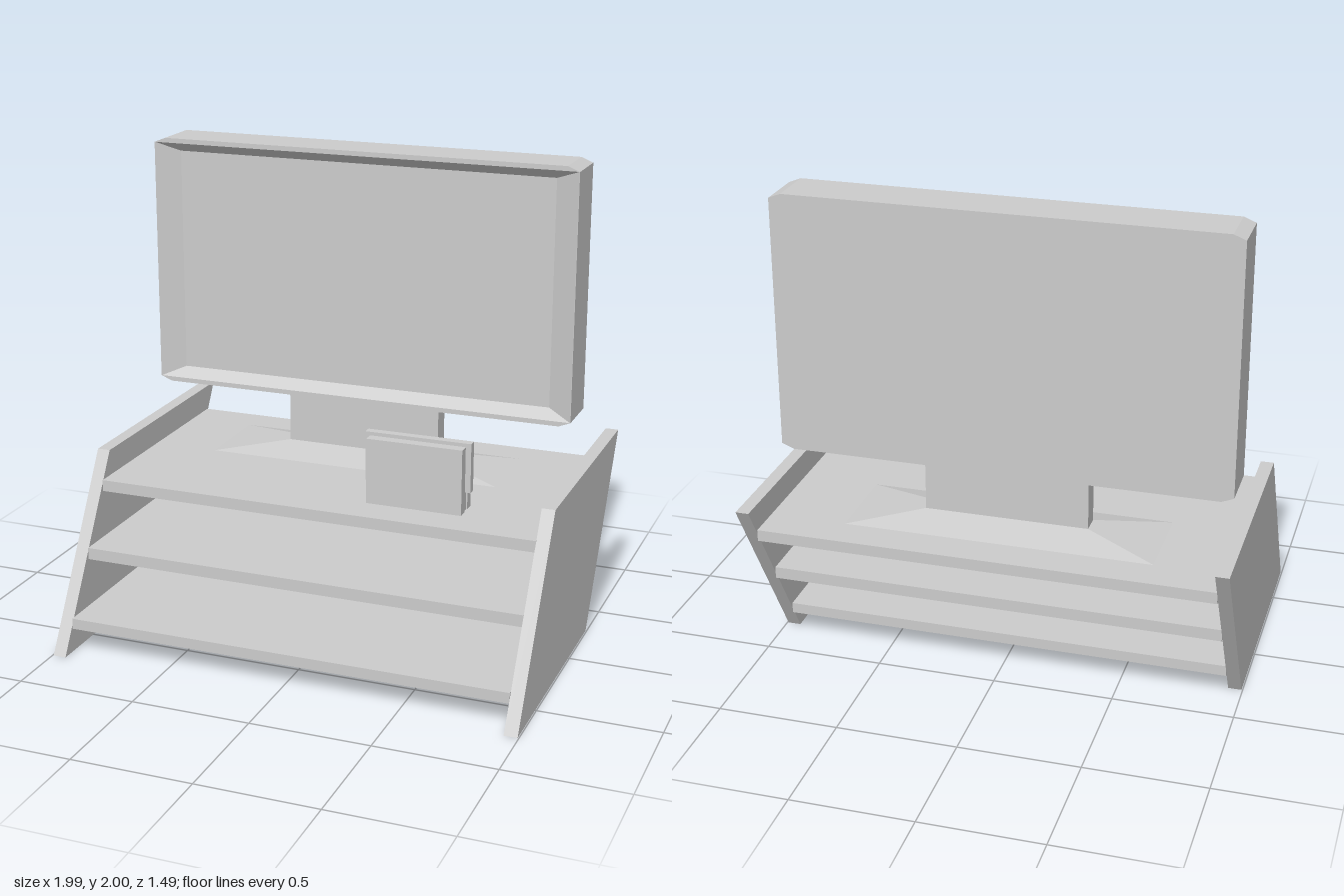
import * as THREE from 'three';

const material = new THREE.MeshStandardMaterial({ color: 0xcccccc, flatShading: true });

function mesh(name, geometry) {
  const m = new THREE.Mesh(geometry, material);
  m.name = name;
  return m;
}

// Box given by its extents along each axis
function block(name, x0, x1, y0, y1, z0, z1) {
  const g = new THREE.BoxGeometry(x1 - x0, y1 - y0, z1 - z0);
  g.translate((x0 + x1) / 2, (y0 + y1) / 2, (z0 + z1) / 2);
  return mesh(name, g);
}

// Closed skin through rings of equal point count, each counter-clockwise
// when seen from the end of the loft; both ends are capped.
function loft(rings) {
  const positions = [];
  const tri = (a, b, c) => {
    if (new THREE.Triangle(a, b, c).getArea() < 1e-8) return; // collapsed corners
    for (const p of [a, b, c]) positions.push(p.x, p.y, p.z);
  };
  const n = rings[0].length;
  for (let r = 0; r < rings.length - 1; r++) {
    const a = rings[r], b = rings[r + 1];
    for (let i = 0; i < n; i++) {
      const j = (i + 1) % n;
      tri(a[i], a[j], b[j]);
      tri(a[i], b[j], b[i]);
    }
  }
  const first = rings[0], last = rings[rings.length - 1];
  for (let i = 1; i < n - 1; i++) {
    tri(first[0], first[i + 1], first[i]);
    tri(last[0], last[i], last[i + 1]);
  }
  const g = new THREE.BufferGeometry();
  g.setAttribute('position', new THREE.Float32BufferAttribute(positions, 3));
  g.computeVertexNormals();
  return g;
}

// Upright eight-point ring: a rectangle whose corners are cut by cx, cy
function cutRect(x0, x1, y0, y1, z, cx = 0, cy = 0) {
  return [
    [x0 + cx, y0], [x1 - cx, y0], [x1, y0 + cy], [x1, y1 - cy],
    [x1 - cx, y1], [x0 + cx, y1], [x0, y1 - cy], [x0, y0 + cy],
  ].map(([x, y]) => new THREE.Vector3(x, y, z));
}

// Level four-point ring
function levelRect(x0, x1, z0, z1, y) {
  return [[x0, z1], [x1, z1], [x1, z0], [x0, z0]].map(([x, z]) => new THREE.Vector3(x, y, z));
}

function createCabinet() {
  const cabinet = new THREE.Group();
  cabinet.name = 'cabinet';

  // Slanted side panels, drawn as (-z, y) and turned to face sideways
  const outline = new THREE.Shape([
    [-0.743, 0], [0.29, 0], [0.743, 0.76], [-0.295, 0.76],
  ].map(([x, y]) => new THREE.Vector2(x, y)));
  for (const [name, x] of [['leftSidePanel', 0.94], ['rightSidePanel', -0.995]]) {
    const g = new THREE.ExtrudeGeometry(outline, { depth: 0.055, bevelEnabled: false });
    g.rotateY(Math.PI / 2);
    g.translate(x, 0, 0);
    cabinet.add(mesh(name, g));
  }

  // Three shelves stepping back as they rise
  const shelves = [
    ['bottomShelf', 0.1, 0.145, -0.362, 0.673],
    ['middleShelf', 0.35, 0.4, -0.515, 0.515],
    ['topShelf', 0.602, 0.65, -0.668, 0.367],
  ];
  for (const [name, y0, y1, z0, z1] of shelves) {
    cabinet.add(block(name, -0.94, 0.94, y0, y1, z0, z1));
  }
  return cabinet;
}

function createTelevision() {
  const tv = new THREE.Group();
  tv.name = 'television';

  // Casing with cut corners, a thin rim and a sloping recess to the screen
  tv.add(mesh('screenCasing', loft([
    cutRect(-0.95, 0.91, 0.92, 2, -0.44, 0.05, 0.02),
    cutRect(-0.95, 0.91, 0.92, 2, -0.228, 0.05, 0.02),
    cutRect(-0.948, 0.908, 0.94, 1.98, -0.228),
    cutRect(-0.85, 0.805, 0.98, 1.94, -0.278),
  ])));

  // Neck and the shallow sloped foot beneath it
  tv.add(block('neck', -0.36, 0.32, 0.69, 0.93, -0.374, -0.292));
  tv.add(mesh('foot', loft([
    levelRect(-0.66, 0.62, -0.52, -0.146, 0.651),
    levelRect(-0.36, 0.32, -0.374, -0.292, 0.693),
  ])));
  return tv;
}

function createSmallDevice() {
  const device = new THREE.Group();
  device.name = 'smallDevice';
  // Two upright slabs sandwiching a wider raised plate, on a narrow core
  device.add(block('backSlab', 0.185, 0.59, 0.651, 0.927, 0.098, 0.14));
  device.add(block('core', 0.19, 0.585, 0.651, 0.74, 0.135, 0.18));
  device.add(block('middlePlate', 0.165, 0.613, 0.735, 0.942, 0.14, 0.175));
  device.add(block('frontSlab', 0.185, 0.59, 0.651, 0.927, 0.175, 0.22));
  return device;
}

export function createModel() {
  const model = new THREE.Group();
  model.name = 'televisionOnCabinet';
  model.add(createCabinet(), createTelevision(), createSmallDevice());
  return model;
}
